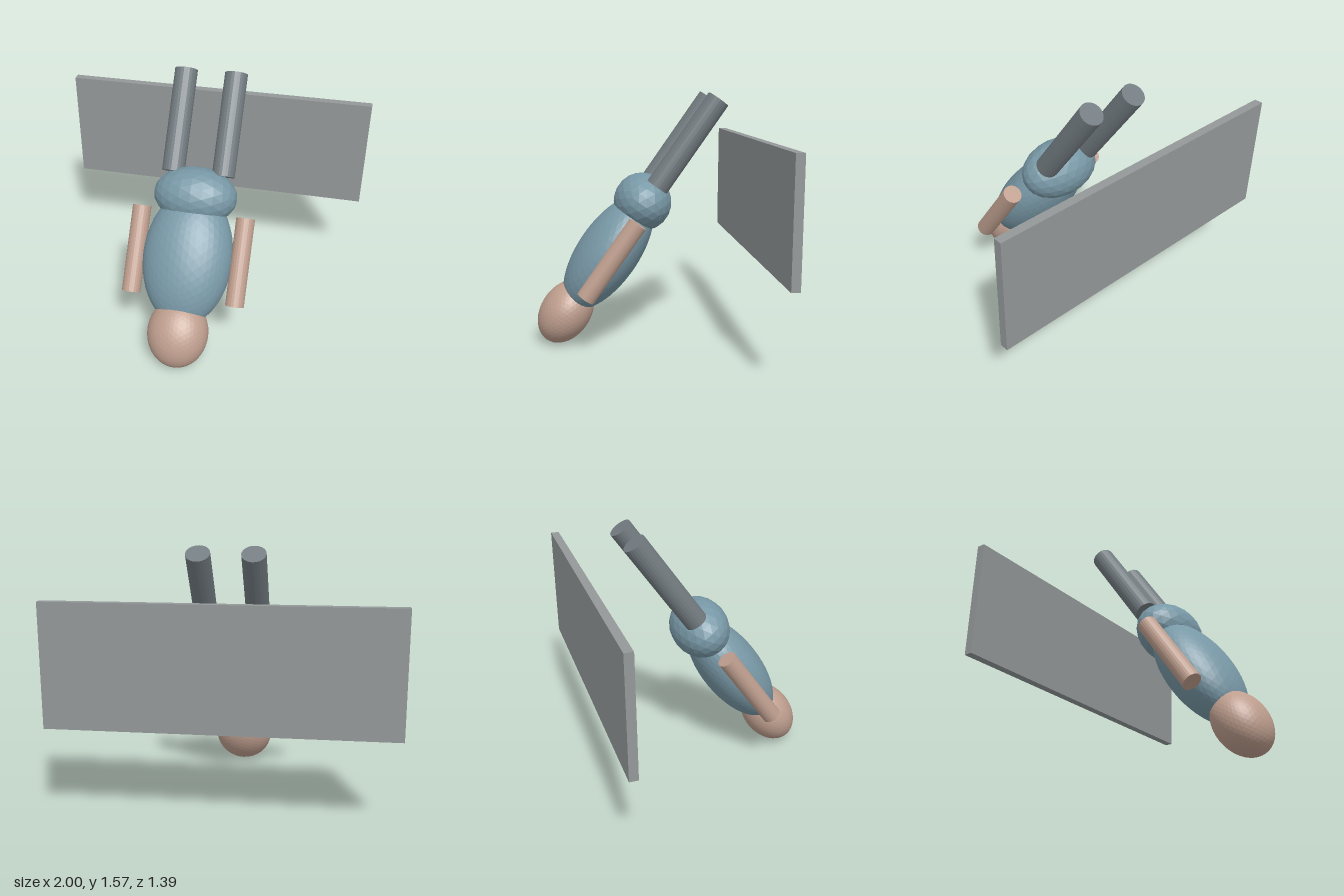
import * as THREE from 'three';

const TILT = THREE.MathUtils.degToRad(-35);

function mat(name, color) {
  const m = new THREE.MeshStandardMaterial({ color, flatShading: true });
  m.name = name;
  return m;
}

export function createModel() {
  const model = new THREE.Group();
  model.name = 'divingFigure';
  const suit = mat('suitBlue', 0x7898a6);
  const skin = mat('skin', 0xbe9e8e);
  const trousers = mat('trouserGrey', 0x727b80);
  const panel = mat('panelGrey', 0x949899);

  const add = (name, geometry, material, x, y, z, tilt = TILT) => {
    const mesh = new THREE.Mesh(geometry, material);
    mesh.name = name;
    mesh.position.set(x, y, z);
    mesh.rotation.x = tilt;
    model.add(mesh);
  };
  // Faceted ellipsoid with the given half sizes
  const ellipsoid = (detail, rx, ry, rz) =>
    new THREE.IcosahedronGeometry(1, detail).scale(rx, ry, rz);

  // Upside-down body, leaning along one tilted axis
  add('head', ellipsoid(7, 0.19, 0.217, 0.158), skin, 0, 0.202, 0.517);
  add('torso', ellipsoid(7, 0.28, 0.42, 0.19), suit, 0, 0.58, 0.245);
  add('hips', ellipsoid(3, 0.262, 0.18, 0.18), suit, 0, 0.9, 0.028);

  // Limbs parallel to the body axis
  for (const [side, s] of [['left', 1], ['right', -1]]) {
    add(side + 'Arm', new THREE.CylinderGeometry(0.058, 0.058, 0.541, 24), skin, s * 0.328, 0.595, 0.242);
    add(side + 'Leg', new THREE.CylinderGeometry(0.071, 0.071, 0.64, 24), trousers, s * 0.158, 1.273, -0.23);
  }

  // Upright panel behind the body
  add('backPanel', new THREE.BoxGeometry(2, 0.722, 0.052), panel, 0, 0.929, -0.672, 0);

  return model;
}
